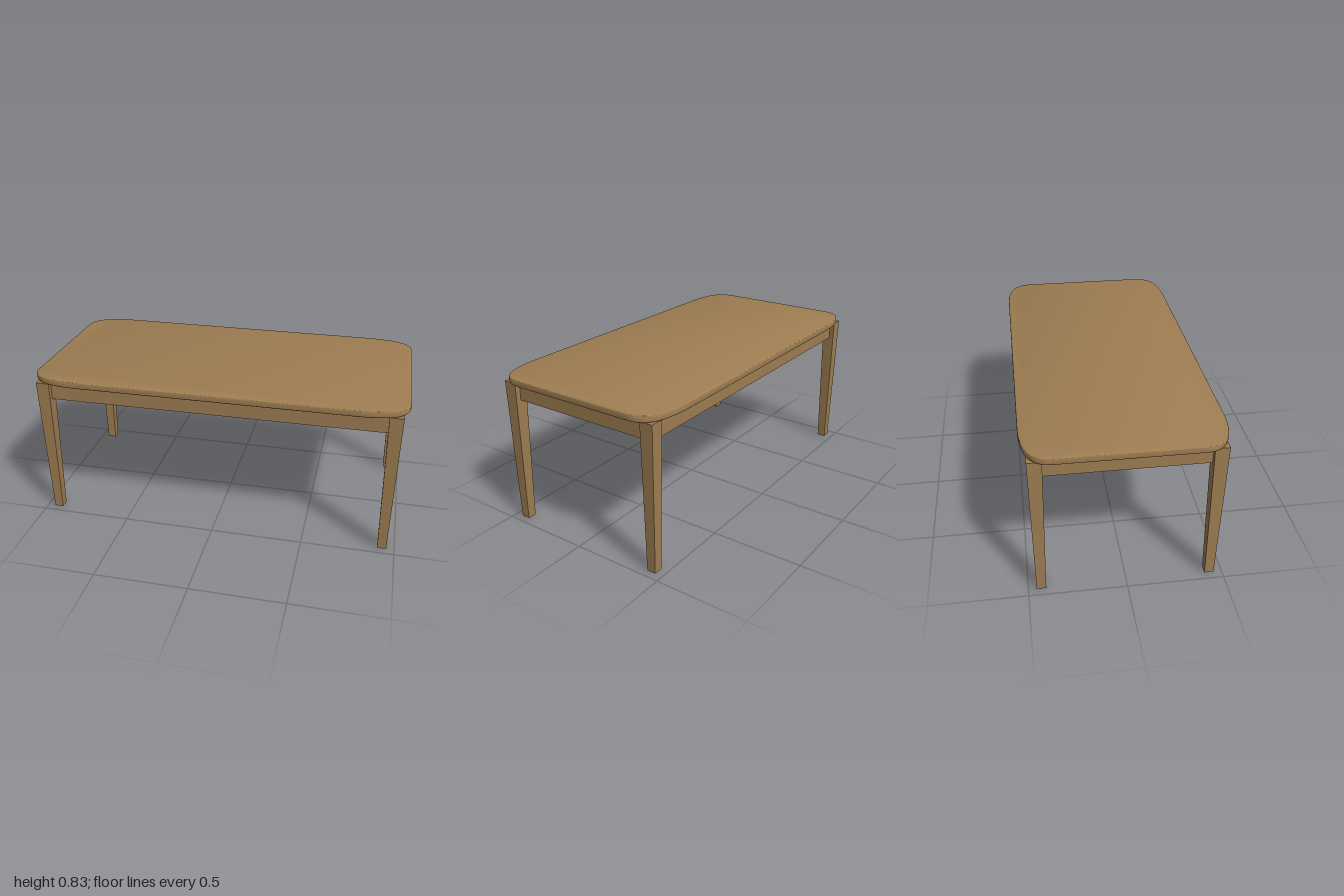
import * as THREE from 'three';
import { toCreasedNormals } from 'three/addons/utils/BufferGeometryUtils.js';

const LEG_TOP = 0.795;
const TABLE_TOP = 0.833;

// Rounded rectangle whose corners ease in gradually
function topOutline() {
  const s = new THREE.Shape();
  s.moveTo(0.72, -0.5);
  s.bezierCurveTo(0.93, -0.5, 1, -0.445, 1, -0.35);
  s.lineTo(1, 0.35);
  s.bezierCurveTo(1, 0.445, 0.93, 0.5, 0.72, 0.5);
  s.lineTo(-0.72, 0.5);
  s.bezierCurveTo(-0.93, 0.5, -1, 0.445, -1, 0.35);
  s.lineTo(-1, -0.35);
  s.bezierCurveTo(-1, -0.445, -0.93, -0.5, -0.72, -0.5);
  return s;
}

// Slab with softly rounded edges
function tabletopGeometry() {
  const bevel = 0.008;
  const geo = new THREE.ExtrudeGeometry(topOutline(), {
    depth: TABLE_TOP - LEG_TOP - 2 * bevel,
    bevelThickness: bevel, bevelSize: bevel, bevelOffset: -bevel,
    bevelSegments: 4, curveSegments: 16,
  });
  geo.rotateX(-Math.PI / 2);
  geo.translate(0, LEG_TOP + bevel, 0);
  return toCreasedNormals(geo, 0.7);
}

// Square leg, tapering evenly towards the foot
function legGeometry() {
  const geo = new THREE.BoxGeometry(0.072, LEG_TOP, 0.072);
  geo.translate(0, LEG_TOP / 2, 0);
  const p = geo.attributes.position;
  for (let i = 0; i < p.count; i++) {
    if (p.getY(i) < 0.01) {
      p.setX(i, p.getX(i) * 0.67);
      p.setZ(i, p.getZ(i) * 0.67);
    }
  }
  geo.computeVertexNormals();
  return geo;
}

export function createModel() {
  const model = new THREE.Group();
  model.name = 'table';
  const wood = new THREE.MeshStandardMaterial({ color: 0x9e7d52 });
  wood.name = 'wood';

  const add = (name, geo, x = 0, y = 0, z = 0) => {
    const mesh = new THREE.Mesh(geo, wood);
    mesh.name = name;
    mesh.position.set(x, y, z);
    model.add(mesh);
  };

  add('tabletop', tabletopGeometry());

  // Four corner legs
  const leg = legGeometry();
  for (const [side, sx] of [['Left', 1], ['Right', -1]]) {
    add('front' + side + 'Leg', leg, sx * 0.934, 0, 0.434);
    add('back' + side + 'Leg', leg, sx * 0.934, 0, -0.434);
  }

  // Aprons set between the legs, back from their outer faces
  const apronHeight = 0.1, thickness = 0.03;
  const y = LEG_TOP - apronHeight / 2;
  const longApron = new THREE.BoxGeometry(1.83, apronHeight, thickness);
  const shortApron = new THREE.BoxGeometry(thickness, apronHeight, 0.83);
  add('frontApron', longApron, 0, y, 0.428);
  add('backApron', longApron, 0, y, -0.428);
  add('leftApron', shortApron, 0.926, y, 0);
  add('rightApron', shortApron, -0.926, y, 0);

  return model;
}
